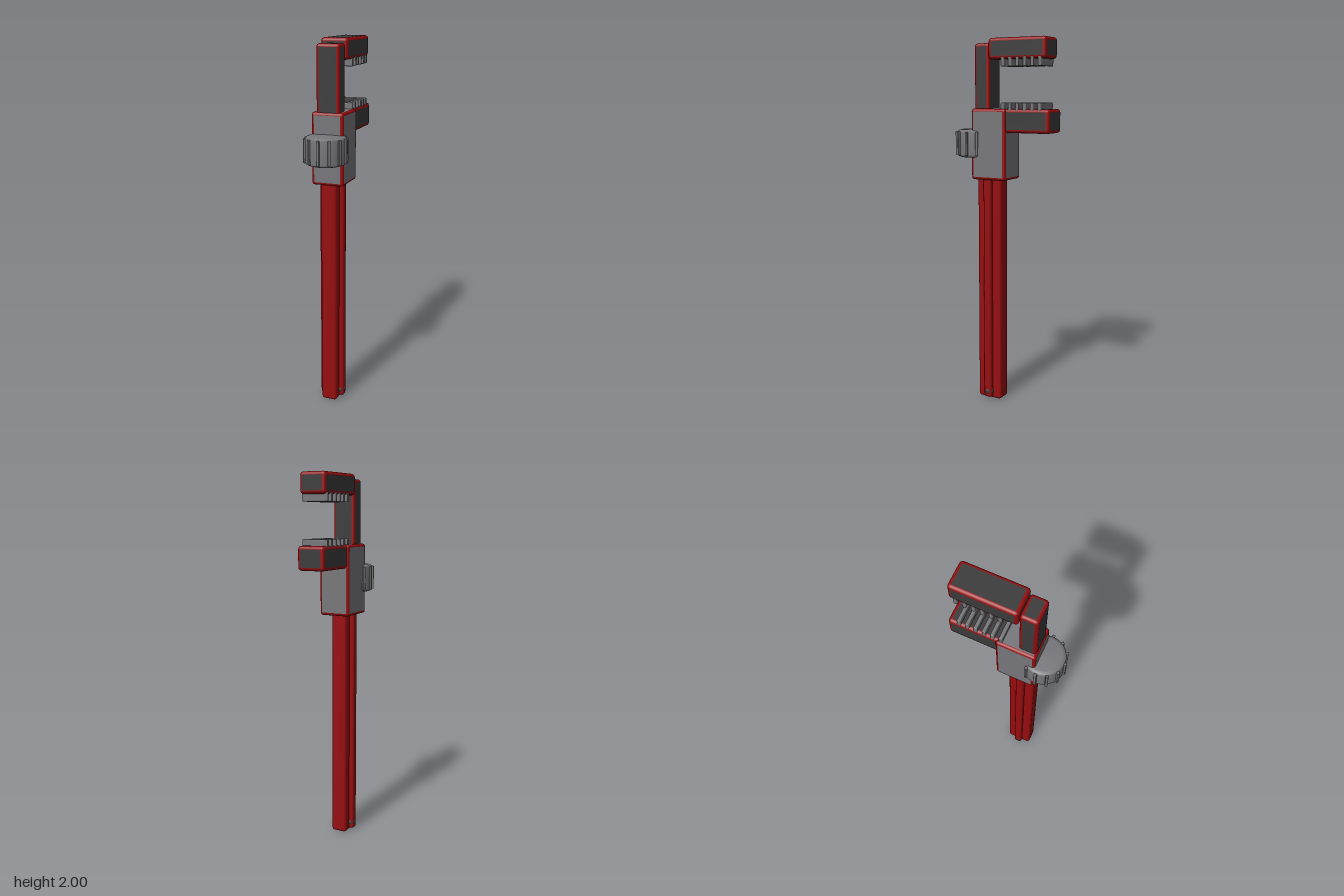
import * as THREE from 'three';
import { RoundedBoxGeometry } from 'three/addons/geometries/RoundedBoxGeometry.js';

const material = (name, color) => {
  const m = new THREE.MeshStandardMaterial({ color });
  m.name = name;
  return m;
};

// Rounded box whose flat faces (group 0) and rounded edges (group 1) take separate materials
function edgedBox(w, h, d, radius) {
  const source = new RoundedBoxGeometry(w, h, d, 2, radius);
  const geo = source.index ? source.toNonIndexed() : source;
  const pos = geo.attributes.position, nor = geo.attributes.normal;
  const sets = [{ p: [], n: [] }, { p: [], n: [] }];
  for (let i = 0; i < pos.count; i += 3) {
    let flat = true;
    for (let k = i; k < i + 3; k++) {
      const m = Math.max(Math.abs(nor.getX(k)), Math.abs(nor.getY(k)), Math.abs(nor.getZ(k)));
      if (m < 0.999) flat = false;
    }
    const set = sets[flat ? 0 : 1];
    for (let k = i; k < i + 3; k++) {
      set.p.push(pos.getX(k), pos.getY(k), pos.getZ(k));
      set.n.push(nor.getX(k), nor.getY(k), nor.getZ(k));
    }
  }
  const out = new THREE.BufferGeometry();
  out.setAttribute('position', new THREE.Float32BufferAttribute([...sets[0].p, ...sets[1].p], 3));
  out.setAttribute('normal', new THREE.Float32BufferAttribute([...sets[0].n, ...sets[1].n], 3));
  const split = sets[0].p.length / 3;
  out.addGroup(0, split, 0);
  out.addGroup(split, sets[1].p.length / 3, 1);
  return out;
}

export function createModel() {
  const red = material('red paint', 0x960c0e);
  const dark = material('dark iron', 0x3a3a3a);
  const grey = material('grey steel', 0x77777b);

  const model = new THREE.Group();
  model.name = 'pipeWrench';

  const add = (name, geometry, mat, x, y, z, parent = model) => {
    const mesh = new THREE.Mesh(geometry, mat);
    mesh.name = name;
    mesh.position.set(x, y, z);
    parent.add(mesh);
    return mesh;
  };
  // Edged box placed by its half width and its y and z ranges
  const addEdged = (name, mat, halfX, y0, y1, z0, z1, radius) =>
    add(name, edgedBox(halfX * 2, y1 - y0, z1 - z0, radius), [mat, red], 0, (y0 + y1) / 2, (z0 + z1) / 2);

  // Handle: two crossed bars with a pin on each side near the bottom
  const handle = new THREE.Group();
  handle.name = 'handle';
  model.add(handle);
  add('handleSpine', new RoundedBoxGeometry(0.088, 1.3, 0.143, 2, 0.016), red, 0, 0.65, 0.078, handle);
  add('handleRib', new RoundedBoxGeometry(0.136, 1.29, 0.046, 2, 0.012), red, 0, 0.655, 0.078, handle);
  for (const side of [-1, 1]) {
    add('handlePin', new THREE.SphereGeometry(0.027, 20, 14), dark, side * 0.045, 0.045, 0.078, handle);
  }

  // Housing, sliding post and the two jaws
  addEdged('housing', grey, 0.087, 1.255, 1.635, -0.045, 0.163, 0.015);
  addEdged('post', dark, 0.063, 1.5, 1.975, 0.065, 0.155, 0.016);
  addEdged('upperJaw', dark, 0.073, 1.89, 2.0, -0.272, 0.065, 0.017);
  addEdged('lowerJaw', dark, 0.076, 1.51, 1.635, -0.295, 0, 0.017);

  // Rows of teeth on the facing sides of the jaws
  const toothGeometry = new RoundedBoxGeometry(0.146, 0.05, 0.02, 2, 0.005);
  for (let i = 0; i < 6; i++) {
    const z = -0.022 - i * 0.0432;
    add('upperTooth', toothGeometry, grey, 0, 1.878, z);
    add('lowerTooth', toothGeometry, grey, 0, 1.642, z);
  }

  // Thumb wheel with twelve grip ribs
  const wheel = new THREE.Group();
  wheel.name = 'thumbWheel';
  wheel.position.set(0, 1.447, 0.177);
  model.add(wheel);
  const half = [[0, 0.077], [0.085, 0.075], [0.1, 0.07], [0.107, 0.06]];
  const profile = [
    ...half.map(([r, y]) => new THREE.Vector2(r, -y)),
    ...half.slice().reverse().map(([r, y]) => new THREE.Vector2(r, y)),
  ];
  add('wheelBody', new THREE.LatheGeometry(profile, 40), grey, 0, 0, 0, wheel);
  const ribGeometry = new RoundedBoxGeometry(0.015, 0.128, 0.024, 2, 0.004);
  for (let i = 0; i < 12; i++) {
    const a = (i * Math.PI) / 6;
    const rib = add('wheelRib', ribGeometry, grey, Math.sin(a) * 0.105, 0, Math.cos(a) * 0.105, wheel);
    rib.rotation.y = a;
  }

  return model;
}
